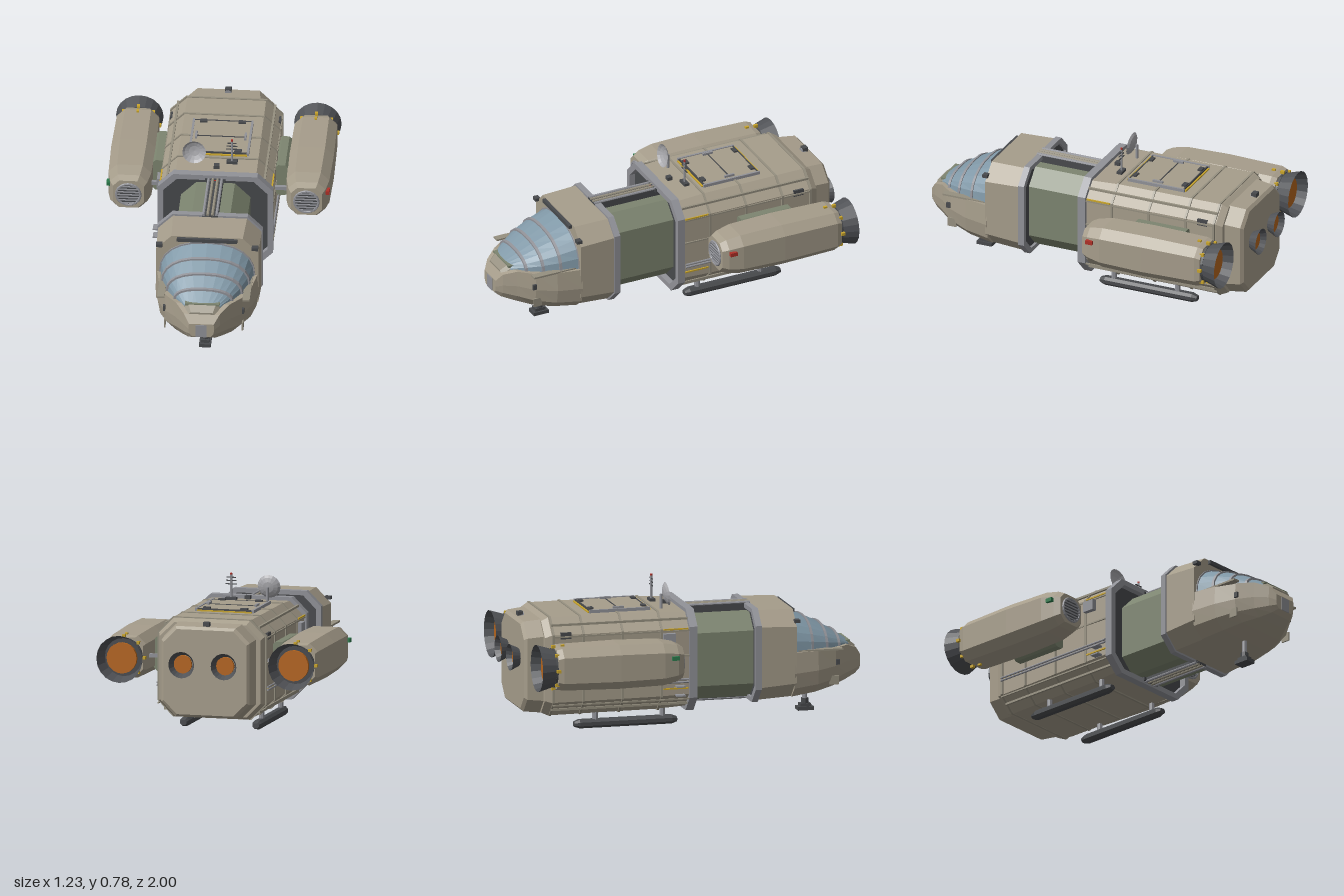
import * as THREE from 'three';

const mat = (color, side = THREE.FrontSide) =>
  new THREE.MeshStandardMaterial({ color, flatShading: true, side });
const M = {
  hull: mat(0xa69d8b), trim: mat(0x969080), green: mat(0x7d8570), dark: mat(0x484a4d),
  metal: mat(0x919298), glass: mat(0x8199a8), glow: mat(0xb5651d), yellow: mat(0xc9a52c),
  red: mat(0xb03028), lime: mat(0x2c7a4c), nozzle: mat(0x505256, THREE.DoubleSide),
  dish: mat(0xa8a8ac, THREE.DoubleSide),
};

// Octagon outline, counter-clockwise seen from the front
const oct = (w, y0, y1, c, cx = 0) => [
  [w, y0 + c], [w, y1 - c], [w - c, y1], [c - w, y1],
  [-w, y1 - c], [-w, y0 + c], [c - w, y0], [w - c, y0]].map(([x, y]) => [x + cx, y]);

// Solid skin through matching outlines, given as [z, points] from back to front
function loft(sections) {
  const v = [], n = sections[0][1].length;
  const at = (s, i) => [...s[1][i % n], s[0]];
  const mid = s => [0, 1].map(k => s[1].reduce((t, p) => t + p[k], 0) / n).concat(s[0]);
  for (let k = 0; k + 1 < sections.length; k++) {
    const a = sections[k], b = sections[k + 1];
    for (let i = 0; i < n; i++) {
      v.push(...at(a, i), ...at(a, i + 1), ...at(b, i + 1));
      v.push(...at(a, i), ...at(b, i + 1), ...at(b, i));
    }
  }
  const back = sections[0], front = sections[sections.length - 1];
  for (let i = 0; i < n; i++) {
    v.push(...mid(back), ...at(back, i + 1), ...at(back, i));
    v.push(...mid(front), ...at(front, i), ...at(front, i + 1));
  }
  const g = new THREE.BufferGeometry();
  g.setAttribute('position', new THREE.Float32BufferAttribute(v, 3));
  g.computeVertexNormals();
  return g;
}

export function createModel() {
  const root = new THREE.Group();
  root.name = 'cargoShuttle';
  const add = (name, geo, material, x = 0, y = 0, z = 0, parent = root) => {
    const m = new THREE.Mesh(geo, material);
    m.name = name;
    m.position.set(x, y, z);
    parent.add(m);
    return m;
  };
  const box = (name, m, w, h, d, x, y, z, parent) =>
    add(name, new THREE.BoxGeometry(w, h, d), m, x, y, z, parent);
  // Cylinder along z (rFront at +z)
  const tubeZ = (name, m, rFront, rBack, len, x, y, z, sides = 12, open = false, parent = root) =>
    add(name, new THREE.CylinderGeometry(rFront, rBack, len, sides, 1, open).rotateX(Math.PI / 2), m, x, y, z, parent);
  const post = (name, m, r, h, x, y, z, parent) =>
    add(name, new THREE.CylinderGeometry(r, r, h, 8), m, x, y, z, parent);
  const frame = (name, m, outer, inner, z, depth) => {
    const shape = new THREE.Shape(outer.map(p => new THREE.Vector2(...p)));
    shape.holes.push(new THREE.Path(inner.map(p => new THREE.Vector2(...p))));
    add(name, new THREE.ExtrudeGeometry(shape, { depth, bevelEnabled: false }), m, 0, 0, z);
  };

  // Cargo hull and tail
  add('cargoHull', loft([
    [-0.845, oct(0.285, 0.105, 0.615, 0.08)], [-0.81, oct(0.3, 0.09, 0.635, 0.085)],
    [-0.2, oct(0.305, 0.095, 0.635, 0.085)], [-0.03, oct(0.3, 0.105, 0.625, 0.08)]]), M.hull);
  add('tailBlock', loft([
    [-0.95, oct(0.235, 0.125, 0.595, 0.075)], [-0.935, oct(0.25, 0.11, 0.61, 0.08)],
    [-0.83, oct(0.262, 0.1, 0.62, 0.08)]]), M.hull);
  frame('hullFrontFrame', M.metal, oct(0.315, 0.08, 0.645, 0.085), oct(0.285, 0.11, 0.615, 0.075), -0.035, 0.045);
  add('hullFrontBulkhead', loft([[-0.031, oct(0.286, 0.11, 0.615, 0.075)], [-0.024, oct(0.286, 0.11, 0.615, 0.075)]]), M.dark);
  for (const z of [-0.19, -0.41, -0.63, -0.8])
    add('hullRib', loft([[z - 0.006, oct(0.309, 0.088, 0.64, 0.087)], [z + 0.006, oct(0.309, 0.088, 0.64, 0.087)]]), M.trim);
  tubeZ('tailCollar', M.metal, 0.02, 0.02, 0.02, 0, 0.61, -0.9, 8);
  box('tailBeacon', M.dark, 0.035, 0.025, 0.03, 0, 0.622, -0.91);

  // Neck with upper and lower conduits
  add('neck', loft([[-0.03, oct(0.19, 0.115, 0.58, 0.085)], [0.37, oct(0.19, 0.115, 0.58, 0.085)]]), M.green);
  for (const [y, h] of [[0.595, 0.05], [0.11, 0.025]]) {
    box('conduitBed', M.dark, 0.085, h, 0.4, 0, y, 0.18);
    for (const x of [-0.036, -0.013, 0.013, 0.036])
      tubeZ('conduit', Math.abs(x) > 0.02 ? M.metal : M.trim, 0.008, 0.008, 0.4, x, y + (y > 0.3 ? 0.027 : -0.014), 0.18, 8);
  }
  for (const y of [0.617, 0.105]) {
    box('signalBar', M.dark, 0.11, 0.02, 0.016, 0, y, 0.012);
    for (const i of [-1, 0, 1]) box('signalLamp', i ? M.metal : M.red, 0.018, 0.012, 0.008, i * 0.033, y, 0.022);
  }

  // Cabin
  add('cabin', loft([
    [0.365, oct(0.283, 0.11, 0.61, 0.08)], [0.58, oct(0.28, 0.12, 0.605, 0.085)]]), M.hull);
  frame('cabinRearFrame', M.metal, oct(0.288, 0.1, 0.62, 0.082), oct(0.262, 0.125, 0.595, 0.075), 0.345, 0.035);
  add('cabinRearBulkhead', loft([[0.36, oct(0.265, 0.125, 0.595, 0.075)], [0.366, oct(0.265, 0.125, 0.595, 0.075)]]), M.dark);
  box('browBar', M.dark, 0.33, 0.02, 0.025, 0, 0.59, 0.585);

  // Lower nose
  const chin = (z, w, y0, y1) => {
    const h = y1 - y0;
    return [z, [[w, y0 + h * 0.55], [w * 0.97, y1], [-w * 0.97, y1], [-w, y0 + h * 0.55],
      [-w * 0.95, y0 + h * 0.22], [-w * 0.72, y0], [w * 0.72, y0], [w * 0.95, y0 + h * 0.22]]];
  };
  add('nose', loft([chin(0.57, 0.284, 0.118, 0.375), chin(0.71, 0.26, 0.135, 0.375),
    chin(0.82, 0.215, 0.158, 0.375), chin(0.9, 0.15, 0.18, 0.378),
    chin(0.965, 0.1, 0.203, 0.35), chin(0.995, 0.07, 0.225, 0.305)]), M.hull);
  add('noseHood', loft([[0.875, oct(0.13, 0.33, 0.39, 0.02)], [0.925, oct(0.095, 0.33, 0.392, 0.02)],
    [0.965, oct(0.08, 0.3, 0.36, 0.02)]]), M.trim);
  box('noseLip', M.green, 0.19, 0.012, 0.03, 0, 0.388, 0.915);
  box('noseSensorPlate', M.metal, 0.06, 0.075, 0.012, 0, 0.262, 0.993);

  // Canopy glass and its ribs
  const arch = (w, top, grow = 0) => {
    const pts = [];
    for (let i = 0; i <= 12; i++) {
      const a = Math.PI * i / 12, c = Math.cos(a);
      pts.push([(w + grow) * Math.sign(c) * Math.abs(c) ** 0.85, 0.372 + (top + grow - 0.372) * Math.sin(a) ** 0.85]);
    }
    return pts;
  };
  const canopy = [[0.575, 0.258, 0.57], [0.68, 0.238, 0.53], [0.77, 0.205, 0.488], [0.85, 0.158, 0.44], [0.92, 0.1, 0.393]];
  add('canopyGlass', loft(canopy.map(([z, w, t]) => [z, arch(w, t)])), M.glass);
  canopy.slice(0, 4).forEach(([z, w, t]) =>
    add('canopyRib', loft([[z - 0.005, arch(w, t, 0.008)], [z + 0.009, arch(w, t, 0.005)]]), M.metal));

  // Nose landing foot
  post('noseStrut', M.metal, 0.014, 0.12, 0, 0.085, 0.7);
  post('noseStrutSleeve', M.dark, 0.021, 0.03, 0, 0.05, 0.7);
  box('noseFoot', M.dark, 0.064, 0.02, 0.09, 0, 0.01, 0.7);
  box('noseFootPad', M.dark, 0.045, 0.018, 0.06, 0, 0.028, 0.7);

  // Roof hatch
  box('hatch', M.hull, 0.31, 0.022, 0.32, 0, 0.637, -0.39);
  for (const s of [-1, 1]) {
    box('hatchRail', M.metal, 0.012, 0.02, 0.34, s * 0.16, 0.642, -0.39);
    box('hatchStripe', M.yellow, 0.31, 0.008, 0.01, 0, 0.638, -0.39 + s * 0.172);
    box('hatchEdge', M.dark, 0.31, 0.016, 0.008, 0, 0.642, -0.39 + s * 0.162);
    box('hatchHandle', M.metal, 0.012, 0.02, 0.06, s * 0.135, 0.65, -0.39);
    for (const t of [-1, 1]) box('hatchClip', M.dark, 0.04, 0.014, 0.025, s * 0.105, 0.65, -0.39 + t * 0.148);
  }
  box('hatchSeam', M.dark, 0.28, 0.004, 0.006, 0, 0.649, -0.39);
  box('roofSensor', M.dark, 0.03, 0.02, 0.03, 0, 0.645, -0.09);

  // Dish and mast
  const dishGeo = new THREE.LatheGeometry([[0, 0], [0.03, 0.004], [0.052, 0.013], [0.065, 0.024]]
    .map(p => new THREE.Vector2(...p)), 16).rotateX(Math.PI / 2 - 0.15);
  add('dish', dishGeo, M.dish, -0.125, 0.71, -0.135);
  post('dishPost', M.metal, 0.008, 0.085, -0.125, 0.67, -0.145);
  post('mast', M.metal, 0.006, 0.14, 0.08, 0.705, -0.145);
  post('mastTip', M.red, 0.006, 0.012, 0.08, 0.778, -0.145);
  [[0.76, 0.05], [0.742, 0.06], [0.723, 0.065]].forEach(([y, w]) => box('mastBar', M.dark, w, 0.005, 0.005, 0.08, y, -0.145));
  box('mastBase', M.dark, 0.06, 0.015, 0.03, 0.08, 0.643, -0.145);

  // Boarding rungs on the right side
  for (const y of [0.185, 0.235]) box('rung', M.metal, 0.04, 0.008, 0.05, -0.328, y, -0.09);
  box('sideUnit', M.metal, 0.03, 0.06, 0.07, -0.315, 0.5, -0.15);

  // Mirrored parts
  for (const s of [-1, 1]) {
    const side = s > 0 ? 'left' : 'right';
    // Cabin trim
    box(side + 'CabinLamp', M.dark, 0.035, 0.018, 0.03, s * 0.262, 0.55, 0.585);
    box(side + 'CabinPlate', M.trim, 0.04, 0.01, 0.27, s * 0.233, 0.377, 0.715);
    box(side + 'NoseVent', M.dark, 0.012, 0.03, 0.022, s * 0.216, 0.3, 0.83);
    box(side + 'ChinFin', M.trim, 0.008, 0.05, 0.05, s * 0.213, 0.2, 0.81);

    // Hull side details
    for (const y of [0.27, 0.255]) tubeZ(side + 'SidePipe', M.metal, 0.006, 0.006, 0.76, s * 0.312, y, -0.42, 8);
    for (const [y, z, d] of [[0.55, -0.11, 0.14], [0.22, -0.11, 0.14], [0.26, -0.72, 0.14]])
      box(side + 'SideStripe', M.yellow, 0.008, 0.008, d, s * 0.306, y, z);
    for (const y of [0.16, 0.54, 0.4]) box(side + 'HullSeam', M.trim, 0.008, 0.008, 0.77, s * 0.305, y, -0.42);
    box(side + 'SideWindow', M.dark, 0.012, 0.036, 0.06, s * 0.297, 0.545, -0.73);
    for (const y of [0.6, 0.13]) box(side + 'EdgeStrip', M.trim, 0.012, 0.012, 0.77, s * 0.266, y, -0.42);

    // Landing skid
    add(side + 'Skid', loft([[-0.66, oct(0.018, 0.018, 0.045, 0.008, s * 0.205)], [-0.63, oct(0.027, 0.008, 0.056, 0.014, s * 0.205)],
      [-0.11, oct(0.027, 0.008, 0.056, 0.014, s * 0.205)], [-0.08, oct(0.018, 0.018, 0.045, 0.008, s * 0.205)]]), M.dark);
    for (const z of [-0.16, -0.54]) post(side + 'SkidStrut', M.metal, 0.016, 0.07, s * 0.205, 0.08, z);

    // Engine pylon and tie rods
    add(side + 'Pylon', loft([[-0.655, oct(0.06, 0.31, 0.5, 0.04, s * 0.335)], [-0.355, oct(0.06, 0.31, 0.5, 0.04, s * 0.335)]]), M.green);
    for (const z of [-0.27, -0.75]) box(side + 'TieRod', M.metal, 0.1, 0.02, 0.02, s * 0.335, 0.41, z);

    // Engine pod
    const pod = new THREE.Group();
    pod.name = side + 'Engine';
    pod.position.set(s * 0.487, 0.412, 0);
    root.add(pod);
    const ring = (w, c) => oct(w, -w, w, c);
    add('pod', loft([[-0.85, ring(0.108, 0.045)], [-0.82, ring(0.116, 0.045)], [-0.5, ring(0.122, 0.048)],
      [-0.25, ring(0.117, 0.047)], [-0.17, ring(0.102, 0.042)], [-0.135, ring(0.085, 0.035)]]), M.hull, 0, 0, 0, pod);
    add('intakeRim', new THREE.TorusGeometry(0.066, 0.007, 6, 20), M.metal, 0, 0, -0.132, pod);
    tubeZ('intake', M.dark, 0.066, 0.066, 0.006, 0, 0, -0.134, 20, false, pod);
    for (let i = -3; i <= 3; i++)
      box('intakeSlat', M.metal, 2 * Math.sqrt(0.0042 - (i * 0.017) ** 2), 0.006, 0.01, 0, i * 0.017, -0.13, pod);
    tubeZ('nozzle', M.nozzle, 0.1, 0.13, 0.1, 0, 0, -0.895, 20, true, pod);
    tubeZ('nozzleRing', M.dark, 0.108, 0.108, 0.02, 0, 0, -0.852, 20, false, pod);
    tubeZ('nozzleGlow', M.glow, 0.085, 0.085, 0.02, 0, 0, -0.89, 20, false, pod);
    for (let i = 0; i < 8; i++) {
      const a = Math.PI * (i / 4);
      box('nozzleBolt', M.yellow, 0.016, 0.016, 0.022, Math.cos(a) * 0.116, Math.sin(a) * 0.116, -0.852, pod);
    }
    for (const t of [-1, 1]) box('podMarker', M.yellow, 0.014, 0.012, 0.02, 0, t * 0.12, -0.8, pod);
    box('navLight', s > 0 ? M.red : M.lime, 0.022, 0.022, 0.04, s * 0.112, 0.038, -0.19, pod);

    // Main nozzles in the tail
    tubeZ('mainNozzle', M.nozzle, 0.045, 0.073, 0.06, s * 0.12, 0.405, -0.97, 20, true);
    tubeZ('mainNozzleGlow', M.glow, 0.05, 0.05, 0.015, s * 0.12, 0.405, -0.965, 20);
  }
  return root;
}
